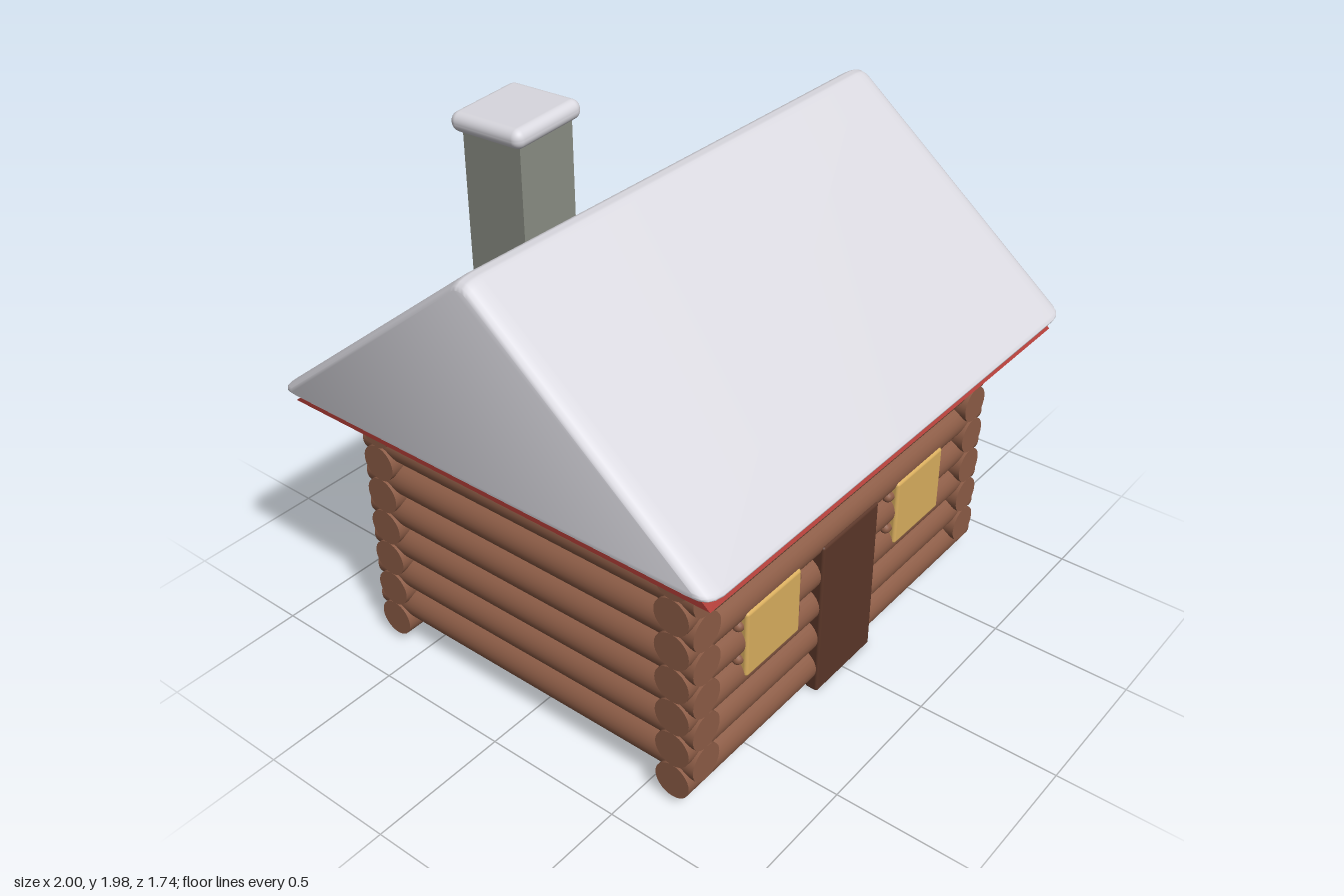
import * as THREE from 'three';
import { toCreasedNormals } from 'three/addons/utils/BufferGeometryUtils.js';
import { RoundedBoxGeometry } from 'three/addons/geometries/RoundedBoxGeometry.js';

const material = (name, color) => {
  const m = new THREE.MeshStandardMaterial({ color });
  m.name = name;
  return m;
};

export function createModel() {
  const model = new THREE.Group();
  model.name = 'logCabin';
  const logBrown = material('logBrown', 0x8c5c46);
  const doorBrown = material('doorBrown', 0x5a3628);
  const windowYellow = material('windowYellow', 0xd9ae5e);
  const eaveRed = material('eaveRed', 0xad3c36);
  const stoneGrey = material('stoneGrey', 0x8a8d83);
  const snowWhite = material('snowWhite', 0xd9d8df);

  const add = (name, geometry, mat, x = 0, y = 0, z = 0, parent = model) => {
    const mesh = new THREE.Mesh(geometry, mat);
    mesh.name = name;
    mesh.position.set(x, y, z);
    parent.add(mesh);
    return mesh;
  };

  // Interlocking log walls, open underneath
  const walls = new THREE.Group();
  walls.name = 'logWalls';
  model.add(walls);
  const longLog = new THREE.CylinderGeometry(0.066, 0.066, 1.69, 28).rotateZ(Math.PI / 2);
  const sideLog = new THREE.CylinderGeometry(0.066, 0.066, 1.38, 28).rotateX(Math.PI / 2);
  for (let i = 0; i < 7; i++) {
    for (const s of [-1, 1]) {
      add('longLog', longLog, logBrown, 0, 0.096 + i * 0.131, s * 0.615, walls);
      add('sideLog', sideLog, logBrown, s * 0.77, 0.16 + i * 0.131, 0, walls);
    }
  }

  // Door and windows, with small rails in the log seams beside the panes
  add('door', new RoundedBoxGeometry(0.32, 0.61, 0.05, 3, 0.01), doorBrown, 0, 0.307, 0.663);
  const pane = new RoundedBoxGeometry(0.285, 0.255, 0.05, 3, 0.012);
  const rail = new THREE.CapsuleGeometry(0.02, 0.3, 6, 14).rotateZ(Math.PI / 2);
  for (const s of [-1, 1]) {
    add('window', pane, windowYellow, s * 0.424, 0.484, 0.663);
    for (const y of [0.423, 0.555]) add('windowRail', rail, logBrown, s * 0.42, y, 0.655);
  }

  // Red roof body, seen as the eaves
  const gable = new THREE.Shape();
  gable.moveTo(-0.845, 0.965).lineTo(0.845, 0.965).lineTo(0, 1.64).closePath();
  const roof = new THREE.ExtrudeGeometry(gable, { depth: 1.92, bevelEnabled: false });
  add('roofEaves', roof.translate(0, 0, -0.96).rotateY(Math.PI / 2), eaveRed);

  // Snow blanket: a softened gable whose ends shrink to round the rims
  const profile = new THREE.Shape();
  profile.moveTo(-0.84, 1.01).lineTo(0.84, 1.01);
  profile.quadraticCurveTo(0.885, 1.01, 0.86, 1.032);
  profile.lineTo(0.035, 1.694);
  profile.quadraticCurveTo(0, 1.722, -0.035, 1.694);
  profile.lineTo(-0.86, 1.032);
  profile.quadraticCurveTo(-0.885, 1.01, -0.84, 1.01);
  const ends = [[1, 0.94], [0.993, 0.965], [0.98, 0.983], [0.96, 0.994], [0.93, 1]];
  const rings = [...ends.map(([x, s]) => [-x, s]), ...ends.slice().reverse()];
  const steps = rings.length - 1;
  const snow = new THREE.ExtrudeGeometry(profile, { depth: 1, steps, bevelEnabled: false, curveSegments: 8 });
  const p = snow.attributes.position;
  for (let i = 0; i < p.count; i++) {
    const [x, s] = rings[Math.round(p.getZ(i) * steps)];
    p.setXYZ(i, p.getX(i) * s, 1.25 + (p.getY(i) - 1.25) * s, x);
  }
  add('roofSnow', toCreasedNormals(snow.rotateY(Math.PI / 2), 0.7), snowWhite);

  // Chimney with a slightly tilted snow cap
  add('chimney', new THREE.BoxGeometry(0.225, 0.72, 0.23), stoneGrey, -0.463, 1.58, -0.267);
  const cap = new RoundedBoxGeometry(0.285, 0.064, 0.285, 5, 0.03);
  add('chimneySnow', cap, snowWhite, -0.462, 1.943, -0.272).rotation.set(-0.035, 0, 0.06);

  return model;
}
